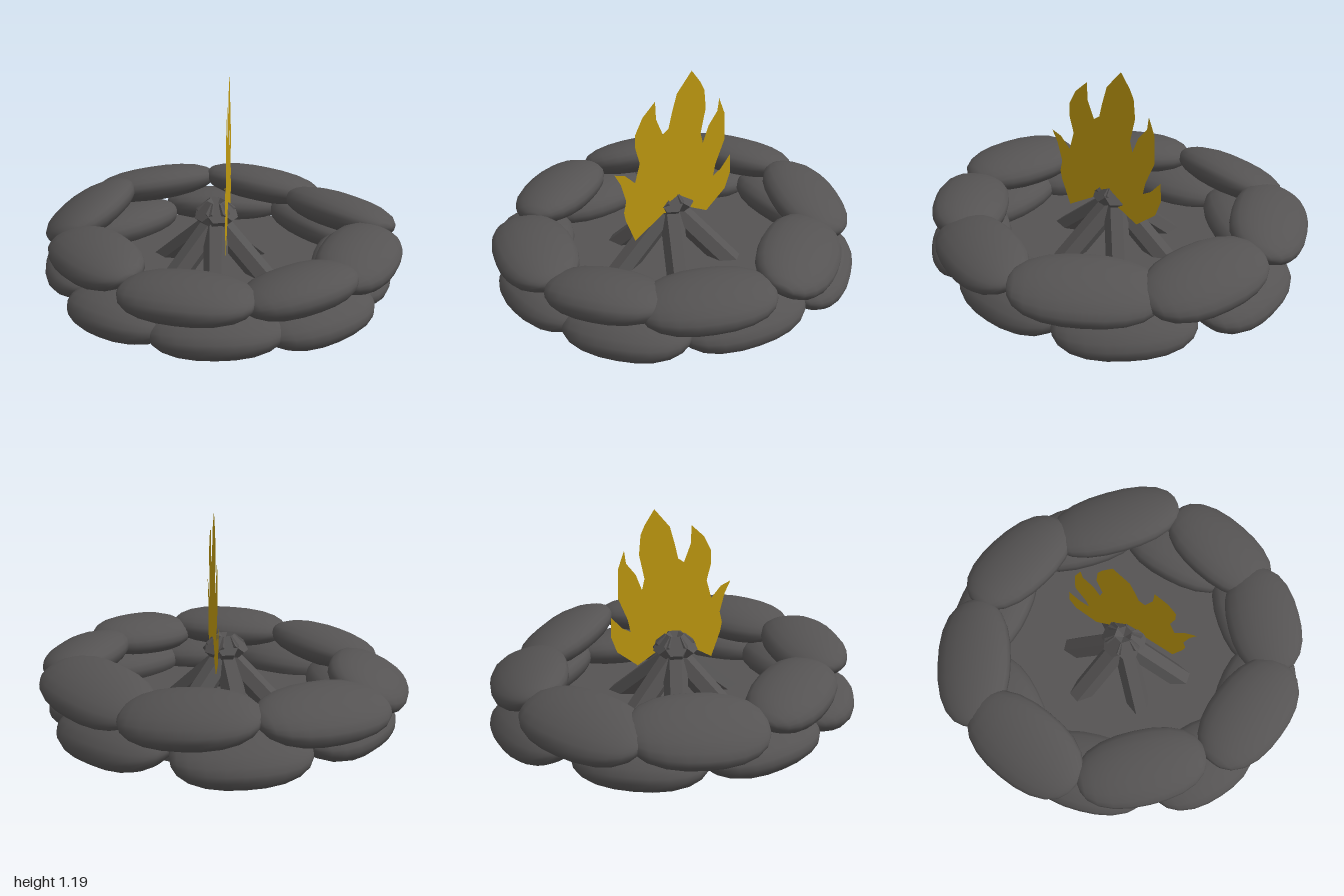
import * as THREE from 'three';

const GREY = 0x555353;
const stoneMat = new THREE.MeshStandardMaterial({ color: GREY });
const logMat = new THREE.MeshStandardMaterial({ color: GREY, flatShading: true });
const flameMat = new THREE.MeshStandardMaterial({ color: 0xc09a10, side: THREE.DoubleSide });

// Stones as [x, z, half length, half width, yaw, outward roll, pitch]
const upperStones = [
  [-0.42, -0.71, 0.36, 0.21, 0.41, 0.28, 0.03], [0.22, -0.73, 0.35, 0.21, -0.32, 0.25, -0.07],
  [0.66, -0.33, 0.38, 0.21, -0.93, 0.28, 0.08], [0.73, 0.29, 0.34, 0.2, 1.2, 0.15, 0.02],
  [0.42, 0.67, 0.31, 0.2, 0.6, -0.1, 0.05], [-0.11, 0.78, 0.34, 0.21, -0.25, 0, 0.03],
  [-0.61, 0.36, 0.35, 0.2, -0.95, 0.12, 0.05], [-0.735, -0.26, 0.35, 0.22, 1.27, 0.4, 0.06],
];
const lowerStones = [
  [0.03, 0.78, 0.33, 0.05], [0.5, 0.6, 0.33, 0.1], [0.71, 0.08, 0.35, 0.2], [0.57, -0.5, 0.36, 0.28],
  [-0.02, -0.79, 0.34, 0.28], [-0.57, -0.48, 0.34, 0.15], [-0.71, 0.1, 0.34, 0.05], [-0.43, 0.63, 0.31, 0],
].map(([x, z, a, roll]) => [x, z, a, 0.215, Math.atan2(x, z), roll, 0.02]);

// Lower ends of the logs as [x, z]
const logEnds = [[0.02, 0.42], [-0.29, 0.24], [-0.36, -0.18], [-0.07, -0.36], [0.31, -0.27], [0.35, 0.16]];

// Flame outline as [z, y]
const flameOutline = [
  [0.1, 0.42], [0.275, 0.31], [0.33, 0.45], [0.34, 0.5], [0.325, 0.565], [0.355, 0.67],
  [0.39, 0.735], [0.33, 0.715], [0.27, 0.655], [0.24, 0.76], [0.265, 0.85], [0.265, 0.925],
  [0.22, 1.01], [0.145, 1.08], [0.14, 0.98], [0.1, 0.885], [0.065, 0.91], [0.045, 0.99],
  [0.015, 1.09], [-0.075, 1.195], [-0.13, 1.12], [-0.155, 1.07], [-0.165, 0.965], [-0.135, 0.83],
  [-0.15, 0.77], [-0.185, 0.86], [-0.24, 0.93], [-0.25, 1.0], [-0.285, 0.91], [-0.29, 0.75],
  [-0.235, 0.62], [-0.22, 0.55], [-0.27, 0.58], [-0.33, 0.65], [-0.335, 0.545], [-0.3, 0.45],
  [-0.18, 0.35], [-0.06, 0.41],
];

// Rounded pebble: a sphere pushed outwards towards a softer box
function stoneGeometry() {
  const geo = new THREE.SphereGeometry(1, 20, 12);
  geo.rotateZ(Math.PI / 2);
  const p = geo.attributes.position;
  const v = new THREE.Vector3();
  const e = 2.35;
  for (let i = 0; i < p.count; i++) {
    v.fromBufferAttribute(p, i);
    const n = Math.abs(v.x) ** e + Math.abs(v.y) ** e + Math.abs(v.z) ** e;
    v.divideScalar(n ** (1 / e));
    p.setXYZ(i, v.x, v.y, v.z);
  }
  return geo; // sphere normals stay smooth across the seam
}

function stoneRing(name, stones, y, halfHeight) {
  const ring = new THREE.Group();
  ring.name = name;
  const geo = stoneGeometry();
  for (const [x, z, a, b, yaw, roll, pitch] of stones) {
    const stone = new THREE.Mesh(geo, stoneMat);
    stone.name = 'stone';
    stone.position.set(x, y, z);
    stone.scale.set(a, halfHeight, b);
    // positive roll lowers the outer edge
    const outward = Math.sign(x * Math.sin(yaw) + z * Math.cos(yaw));
    stone.rotation.set(roll * outward, yaw, pitch, 'YXZ');
    ring.add(stone);
  }
  return ring;
}

// Six-sided log, flat side down, leaning from its lower end past the centre
function makeLog([x, z]) {
  const run = Math.hypot(x, z) + 0.08;
  const rise = 0.435;
  const yaw = Math.atan2(x, z);
  const mid = Math.hypot(x, z) - run / 2;
  const geo = new THREE.CylinderGeometry(0.064, 0.064, Math.hypot(run, rise), 6).rotateY(Math.PI / 6);
  const log = new THREE.Mesh(geo, logMat);
  log.name = 'log';
  log.position.set(Math.sin(yaw) * mid, 0.042 + rise / 2, Math.cos(yaw) * mid);
  log.rotation.set(-Math.atan2(run, rise), yaw, 0, 'YXZ');
  return log;
}

export function createModel() {
  const model = new THREE.Group();
  model.name = 'campfire';

  model.add(stoneRing('lowerStones', lowerStones, 0.175, 0.106));
  model.add(stoneRing('upperStones', upperStones, 0.335, 0.098));

  // Floor slab inside the ring
  const floor = new THREE.Mesh(new THREE.CylinderGeometry(0.74, 0.74, 0.05, 32), stoneMat);
  floor.name = 'floor';
  floor.position.y = 0.12;
  model.add(floor);

  const logs = new THREE.Group();
  logs.name = 'logs';
  logs.position.set(-0.015, 0, 0.01);
  logEnds.forEach((end) => logs.add(makeLog(end)));
  model.add(logs);

  // Flat flame standing in the front-to-back plane
  const shape = new THREE.Shape(flameOutline.map(([z, y]) => new THREE.Vector2(z, y)));
  const flame = new THREE.Mesh(new THREE.ShapeGeometry(shape).rotateY(-Math.PI / 2), flameMat);
  flame.name = 'flame';
  flame.position.x = 0.05;
  model.add(flame);

  return model;
}
